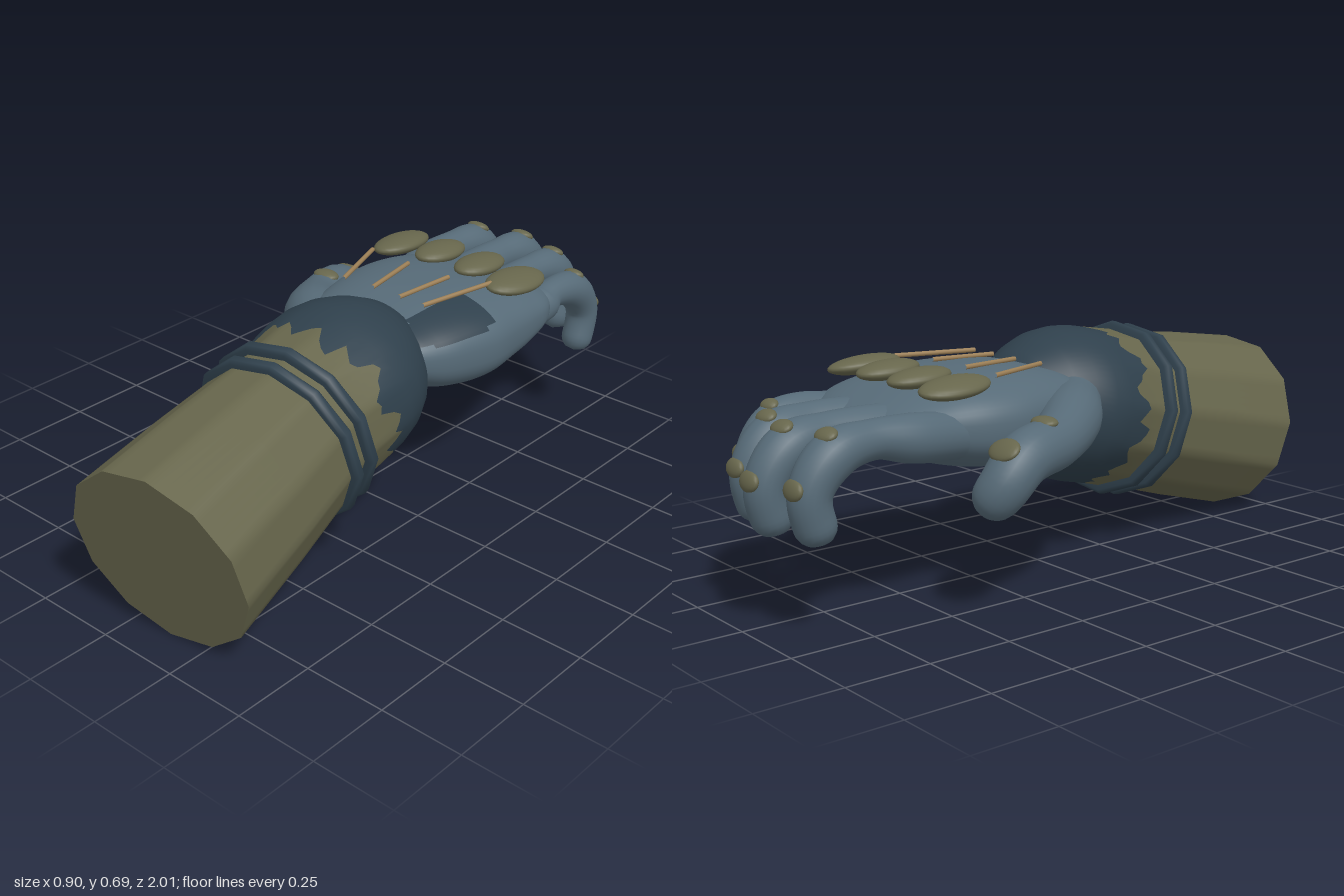
import * as THREE from 'three';

const mat = (name, color) => Object.assign(new THREE.MeshStandardMaterial({ color }), { name });

// Skin closed rings of points; pick() may send a face to the second material
function skin(rings, pick) {
  const m = rings[0].length, lists = [[], []];
  for (let i = 0; i < rings.length - 1; i++) {
    for (let j = 0; j < m; j++) {
      const k = (j + 1) % m, a = i * m + j, b = a + m, c = i * m + k, d = c + m;
      lists[pick && pick(rings[i][j]) ? 1 : 0].push(a, b, c, b, d, c);
    }
  }
  const geo = new THREE.BufferGeometry();
  geo.setAttribute('position', new THREE.Float32BufferAttribute(rings.flat(2), 3));
  geo.setIndex(lists.flat());
  if (pick) {
    geo.addGroup(0, lists[0].length, 0);
    geo.addGroup(lists[0].length, lists[1].length, 1);
  }
  geo.computeVertexNormals();
  return geo;
}

// Smooth value lookup in rows of [key, ...values]
function spline(rows) {
  const size = rows[0].length - 1;
  const f = new THREE.CubicInterpolant(rows.map(r => r[0]), rows.flatMap(r => r.slice(1)), size, new Float32Array(size));
  return t => Array.from(f.evaluate(t));
}

export function createModel() {
  const olive = mat('olive cloth', 0x67664c), blue = mat('blue grey glove', 0x566a77);
  const dark = mat('dark slate', 0x2f404c), tan = mat('tan cord', 0x9c7f56);
  const model = new THREE.Group();
  const add = (name, geo, material, parent = model) => {
    const mesh = new THREE.Mesh(geo, material);
    mesh.name = name;
    parent.add(mesh);
    return mesh;
  };

  // Forearm: local z runs along the arm, z = 0 at the open end
  const arm = new THREE.Group();
  arm.name = 'forearm';
  arm.position.set(0.165, 0.28, 0.94);
  arm.lookAt(0.165 + 0.117, 0.28 - 0.215, 0.94 + 0.97);
  model.add(arm);
  const N = 72, turn = -6 * Math.PI / 180, step = Math.PI / 6;
  const armSize = [[0, 0.285, 0.285], [0.3, 0.267, 0.267], [0.5, 0.25, 0.25], [0.62, 0.245, 0.245],
    [0.7, 0.256, 0.24], [0.79, 0.264, 0.238], [0.85, 0.258, 0.232], [0.91, 0.238, 0.215],
    [0.97, 0.202, 0.185], [1.03, 0.15, 0.14], [1.07, 0.09, 0.085], [1.09, 0, 0]];
  const radiusAt = t => {
    const i = Math.max(1, armSize.findIndex(r => r[0] >= t)), a = armSize[i - 1], b = armSize[i];
    const k = (t - a[0]) / (b[0] - a[0]);
    return [a[1] + (b[1] - a[1]) * k, a[2] + (b[2] - a[2]) * k];
  };
  const armRing = tAt => Array.from({ length: N }, (_, j) => {
    const t = tAt(j), [rx, ry] = radiusAt(t), th = j / N * Math.PI * 2;
    // twelve-sided at the open end, round at the wrist
    const facet = Math.cos(step / 2) / Math.cos(th % step - step / 2);
    const p = THREE.MathUtils.lerp(facet, 1, THREE.MathUtils.smoothstep(t, 0.6, 0.85));
    return [rx * p * Math.cos(th + turn), ry * p * Math.sin(th + turn), -t];
  });
  // Ragged border between sleeve and wrist
  const rag = [0, 2, 3, 1, -3, -2, -3, 0, 1, 4, 3, -1, -2, 0, 2, -4, -3, -1, 3, 2, 0, -2, 1, 3];
  const border = armRing(j => 0.715 + 0.011 * rag[j % rag.length]);
  add('sleeve', skin([...[0, 0.3, 0.5, 0.62].map(t => armRing(() => t)), border]), olive, arm);
  add('wrist', skin([border, ...armSize.slice(5).map(r => armRing(() => r[0]))]), dark, arm);
  add('sleeveEnd', new THREE.CircleGeometry(0.285, 12), olive, arm).rotation.z = turn;

  // Two raised straps around the sleeve
  for (const t of [0.525, 0.595]) {
    const band = [[0.235, -0.019], [0.262, -0.019], [0.272, -0.01], [0.272, 0.01], [0.262, 0.019], [0.235, 0.019]];
    const geo = new THREE.LatheGeometry(band.map(p => new THREE.Vector2(...p)), 12);
    geo.rotateX(Math.PI / 2).rotateZ(turn);
    add('strap', geo, dark, arm).position.z = -t;
  }

  // Palm: rows of -z, centre x, half width, top y, bottom y
  const palmAt = spline([[-0.1, -0.03, 0.1, 0.53, 0.47], [-0.03, 0.02, 0.21, 0.585, 0.43],
    [0.05, 0.035, 0.255, 0.61, 0.385], [0.15, 0.04, 0.285, 0.628, 0.357], [0.25, 0.04, 0.303, 0.63, 0.35],
    [0.35, 0.04, 0.297, 0.625, 0.36], [0.45, 0.05, 0.28, 0.61, 0.385], [0.53, 0.055, 0.26, 0.588, 0.42],
    [0.6, 0.06, 0.2, 0.56, 0.45], [0.66, 0.06, 0.09, 0.53, 0.48]]);
  const soft = v => Math.sign(v) * Math.abs(v) ** 0.78;
  const palmRing = (s, k = 1) => {
    const [cx, rx, top, bottom] = palmAt(s);
    return Array.from({ length: 64 }, (_, j) => {
      const th = j / 64 * Math.PI * 2;
      return [cx + k * rx * soft(Math.cos(th)), (top + bottom) / 2 + k * (top - bottom) / 2 * soft(Math.sin(th)), -s];
    });
  };
  const palmRings = [palmRing(-0.1, 0)];
  for (let i = 0; i <= 38; i++) palmRings.push(palmRing(-0.1 + 0.02 * i));
  palmRings.push(palmRing(0.66, 0));
  const patch = ([x, y, z]) => y > 0.55 && z > -0.25 && x > 0.17 - 0.2 * Math.min(0, z + 0.05) && x < 0.32;
  add('palm', skin(palmRings, patch), [blue, dark]);

  // Rounded limb along a path of [x, y, z, radius]
  function limb(name, pts) {
    const curve = new THREE.CatmullRomCurve3(pts.map(p => new THREE.Vector3(p[0], p[1], p[2])));
    const n = 48, len = curve.getLength(), f = curve.computeFrenetFrames(n);
    const radius = spline(pts.map((p, i) => [i / (pts.length - 1), p[3]]));
    const rings = [];
    for (let i = 0; i <= n; i++) {
      const u = i / n, c = curve.getPointAt(u), r0 = radius(curve.getUtoTmapping(u))[0];
      const k = Math.max(0, 1 - (1 - u) * len / r0), r = r0 * Math.sqrt(1 - k * k);
      rings.push(Array.from({ length: 20 }, (_, j) => {
        const th = j / 20 * Math.PI * 2;
        return c.clone().addScaledVector(f.normals[i], r * Math.cos(th))
          .addScaledVector(f.binormals[i], -r * Math.sin(th)).toArray();
      }));
    }
    add(name, skin(rings), blue);
    return { curve, radius };
  }

  // Small flat pad on the outer side of a limb
  function pad({ curve, radius }, t, w) {
    const p = curve.getPoint(t), out = new THREE.Vector3(1, 0, 0).cross(curve.getTangent(t)).normalize();
    const mesh = add('jointPad', new THREE.SphereGeometry(1, 20, 12), olive);
    mesh.position.copy(p).addScaledVector(out, radius(t)[0] - 0.008);
    mesh.lookAt(mesh.position.clone().add(out));
    mesh.scale.set(w, w * 0.7, 0.016);
  }

  // Fingers: base x, tip x, furthest z, thickness
  for (const [bx, x, zt, k] of [[-0.17, -0.197, -0.96, 1], [-0.04, -0.047, -1, 1], [0.1, 0.105, -0.96, 0.95], [0.235, 0.252, -0.87, 0.85]]) {
    const finger = limb('finger', [[bx, 0.48, -0.42, 0.066 * k], [x, 0.5, -0.58, 0.068 * k],
      [x, 0.515, zt + 0.25, 0.054 * k], [x, 0.49, zt + 0.13, 0.066 * k],
      [x, 0.4, zt + 0.062, 0.059 * k], [x, 0.262, zt + 0.09, 0.057 * k]]);
    pad(finger, 0.58, 0.04 * k);
    pad(finger, 0.79, 0.042 * k);
  }

  // Thumb
  const thumb = limb('thumb', [[-0.12, 0.5, 0.04, 0.08], [-0.23, 0.485, -0.07, 0.09], [-0.325, 0.46, -0.2, 0.077],
    [-0.372, 0.44, -0.35, 0.076], [-0.375, 0.375, -0.42, 0.07], [-0.325, 0.3, -0.45, 0.06]]);
  pad(thumb, 0.47, 0.045);
  pad(thumb, 0.66, 0.055);

  // Oval knuckle guards
  for (const [x, y, z, tilt] of [[-0.193, 0.618, -0.44, 0.12], [-0.05, 0.625, -0.455, 0], [0.102, 0.625, -0.455, 0], [0.247, 0.618, -0.44, -0.12]]) {
    const guard = add('knuckleGuard', new THREE.SphereGeometry(1, 28, 16), olive);
    guard.position.set(x, y, z);
    guard.scale.set(Math.abs(tilt) ? 0.066 : 0.06, 0.027, Math.abs(tilt) ? 0.115 : 0.1);
    guard.rotation.set(-0.06, tilt * 0.5, tilt);
  }

  // Tan cords over the back of the hand
  for (const [x0, z0, x1, z1] of [[-0.2, -0.31, -0.125, -0.09], [-0.05, -0.3, -0.02, -0.1], [0.105, -0.3, 0.082, -0.1], [0.225, -0.35, 0.17, -0.1]]) {
    const path = new THREE.LineCurve3(new THREE.Vector3(x0, 0.635, z0), new THREE.Vector3(x1, 0.632, z1));
    add('cord', new THREE.TubeGeometry(path, 1, 0.007, 8), tan);
  }
  return model;
}
